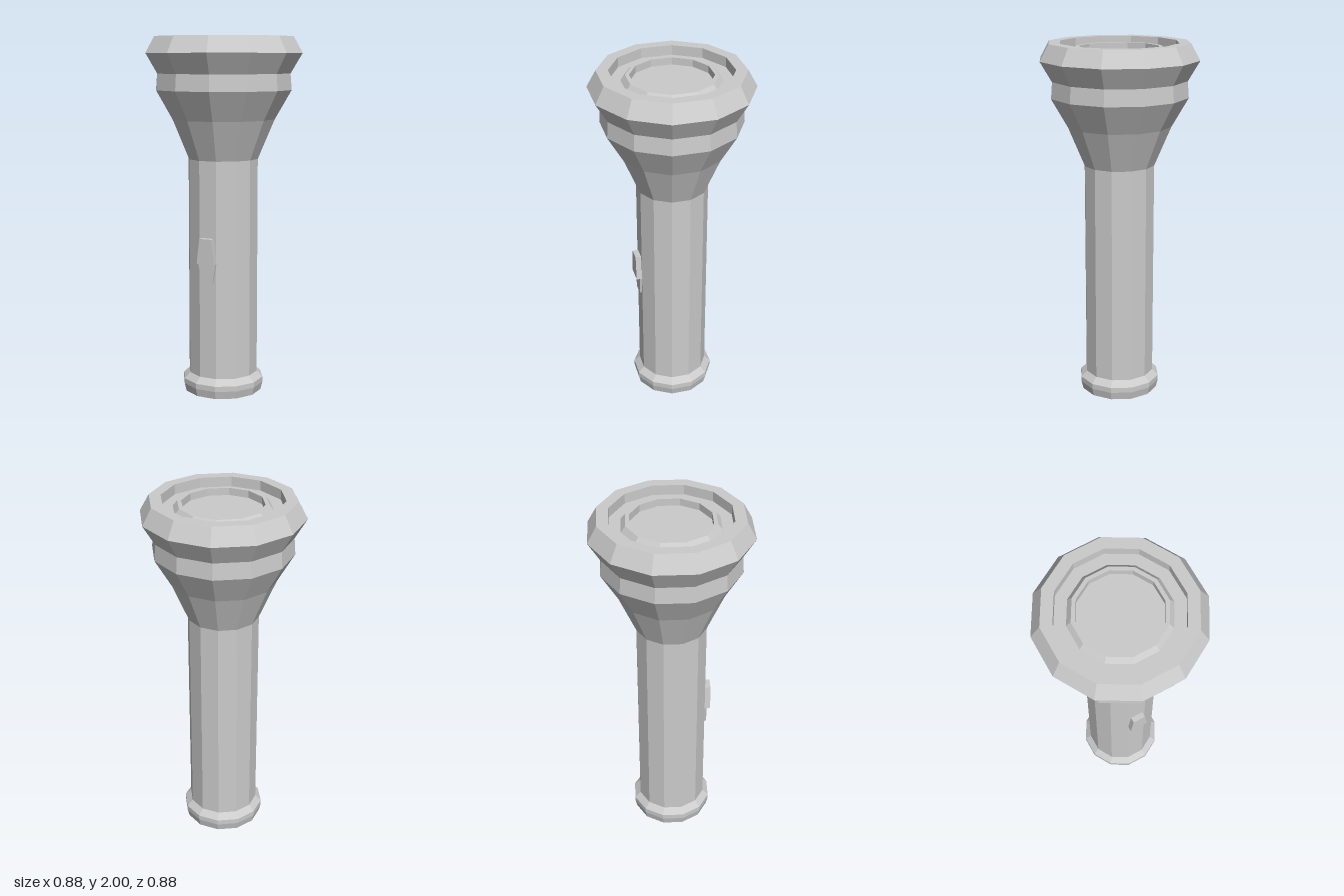
import * as THREE from 'three';

const SIDES = 12;
const grey = new THREE.MeshStandardMaterial({ color: 0xcccccc, flatShading: true, side: THREE.DoubleSide });

// Faceted turned part from [radius, y] pairs, listed bottom to top
function turned(name, profile) {
  const points = profile.map(([r, y]) => new THREE.Vector2(r, y));
  const mesh = new THREE.Mesh(new THREE.LatheGeometry(points, SIDES), grey);
  mesh.name = name;
  return mesh;
}

// Tapered plate standing out from the tube, between two heights
function plate(name, y0, half0, y1, half1, back, front) {
  const shape = new THREE.Shape();
  shape.moveTo(-half0, y0);
  shape.lineTo(half0, y0);
  shape.lineTo(half1, y1);
  shape.lineTo(-half1, y1);
  shape.closePath();
  const geometry = new THREE.ExtrudeGeometry(shape, { depth: front - back, bevelEnabled: false });
  geometry.translate(0, 0, back);
  const mesh = new THREE.Mesh(geometry, grey);
  mesh.name = name;
  return mesh;
}

export function createModel() {
  const model = new THREE.Group();
  model.name = 'flashlight';

  // Flared cap closing the bottom
  model.add(turned('endCap', [[0, 0], [0.22, 0], [0.231, 0.045], [0.231, 0.075], [0.195, 0.11]]));

  // Straight handle
  model.add(turned('handle', [[0.197, 0.1], [0.197, 1.33]]));

  // Flared head with collar and bevelled rim
  model.add(turned('head', [
    [0.197, 1.33], [0.29, 1.55], [0.382, 1.71], [0.375, 1.8], [0.44, 1.91], [0.39, 2],
    [0.327, 2], [0.327, 1.945], [0.26, 1.945],
  ]));

  // Raised ring around the lens
  model.add(turned('lensRing', [[0.265, 1.945], [0.241, 1.975], [0.22, 1.975], [0.22, 1.935]]));
  model.add(turned('lens', [[0.22, 1.935], [0, 1.935]]));

  // Thumb switch centred on one facet of the handle
  const thumbSwitch = new THREE.Group();
  thumbSwitch.name = 'switch';
  thumbSwitch.add(plate('switchSlider', 0.765, 0.053, 0.905, 0.036, 0.18, 0.222));
  thumbSwitch.add(plate('switchBase', 0.655, 0.034, 0.765, 0.053, 0.18, 0.202));
  thumbSwitch.rotation.y = Math.PI / SIDES;
  model.add(thumbSwitch);

  return model;
}
